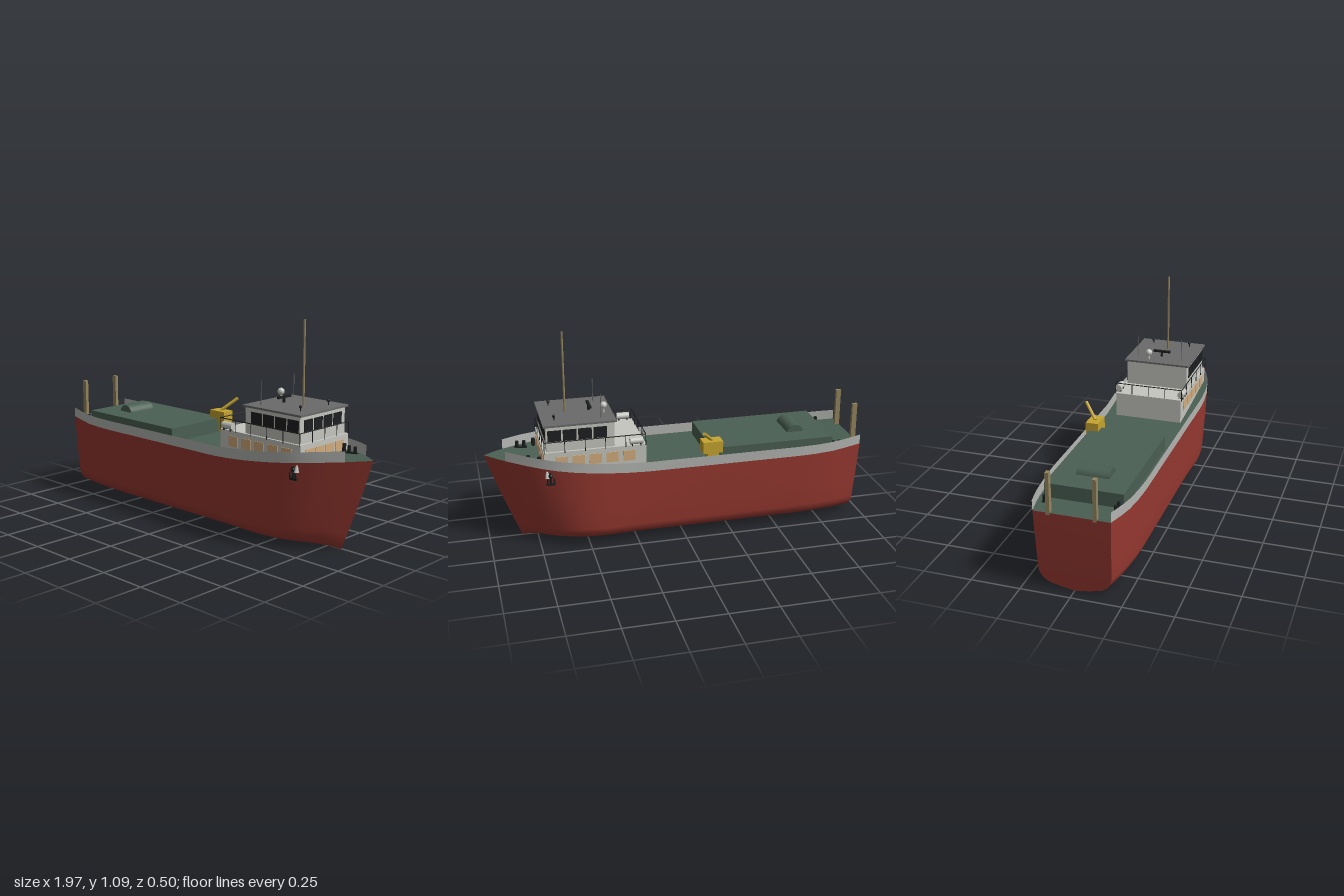
import * as THREE from 'three';

const mat = (name, color, side = THREE.FrontSide) => {
  const m = new THREE.MeshStandardMaterial({ color, side });
  m.name = name;
  return m;
};

// Stations from stern to bow: [x, half width, deck height]
const STATIONS = [
  [-0.97, 0.187, 0.41], [-0.88, 0.207, 0.403], [-0.8, 0.22, 0.397], [-0.7, 0.23, 0.395],
  [-0.6, 0.235, 0.395], [-0.2, 0.235, 0.395], [0.2, 0.235, 0.395], [0.3, 0.239, 0.401],
  [0.42, 0.244, 0.412], [0.5, 0.242, 0.421], [0.58, 0.234, 0.43], [0.65, 0.217, 0.437],
  [0.72, 0.19, 0.444], [0.8, 0.148, 0.452], [0.9, 0.082, 0.461], [0.95, 0.044, 0.466], [1, 0, 0.47],
];
// Half section from keel to deck: [fraction of half width, height, or null for the deck]
const SECTION = [[0, 0], [0.4, 0.014], [0.68, 0.027], [0.8, 0.041], [0.88, 0.057], [0.93, 0.075],
  [0.96, 0.1], [0.975, 0.2], [0.99, 0.31], [1, null]];

// How far the keel is drawn in from the deck line by the raked stem and stern
function rake(x) {
  if (x > 0.2) return 0.17 * Math.pow((x - 0.2) / 0.8, 1.3);
  if (x < -0.6) return -0.03 * (-0.6 - x) / 0.37;
  return 0;
}

function hullPoint([x, w, top], [f, h], side) {
  const y = h === null ? top : h;
  return [x - rake(x) * Math.pow(1 - y / top, 1.12), y, side * w * f];
}

// Smooth surface through rows of points
function loft(rows, flip = false) {
  const n = rows[0].length, index = [];
  for (let i = 0; i < rows.length - 1; i++) {
    for (let j = 0; j < n - 1; j++) {
      const a = i * n + j, b = a + n;
      if (flip) index.push(a, a + 1, b, b, a + 1, b + 1);
      else index.push(a, b, a + 1, b, b + 1, a + 1);
    }
  }
  const g = new THREE.BufferGeometry();
  g.setAttribute('position', new THREE.Float32BufferAttribute(rows.flat(2), 3));
  g.setIndex(index);
  g.computeVertexNormals();
  return g;
}

export function createModel() {
  const red = mat('hull red', 0x963830, THREE.DoubleSide);
  const green = mat('deck green', 0x4a5f53, THREE.DoubleSide);
  const grey = mat('bulwark grey', 0xb4b6b2, THREE.DoubleSide);
  const white = mat('cabin off-white', 0xc6c6c0);
  const roofGrey = mat('roof grey', 0x6a6a6a);
  const black = mat('fitting black', 0x1e1f20);
  const peach = mat('lit window peach', 0xd2ac7c);
  const yellow = mat('crane yellow', 0xc6a530);
  const tan = mat('spar tan', 0x94855f);

  const model = new THREE.Group();
  const ship = new THREE.Group();
  ship.name = 'ship';
  ship.position.z = 0.005;
  model.add(ship);

  const add = (name, geo, m, x = 0, y = 0, z = 0, parent = ship) => {
    const mesh = new THREE.Mesh(geo, m);
    mesh.name = name;
    mesh.position.set(x, y, z);
    parent.add(mesh);
    return mesh;
  };
  // Box given by its bounds
  const box = (name, m, x0, x1, y0, y1, z0, z1) => add(name,
    new THREE.BoxGeometry(x1 - x0, y1 - y0, z1 - z0), m, (x0 + x1) / 2, (y0 + y1) / 2, (z0 + z1) / 2);
  // Round bar between two points
  const rod = (name, m, a, b, r, sides = 8) => {
    const p = new THREE.Vector3(...a), q = new THREE.Vector3(...b), d = q.clone().sub(p);
    const mesh = add(name, new THREE.CylinderGeometry(r, r, d.length(), sides), m);
    mesh.position.copy(p).add(q).multiplyScalar(0.5);
    mesh.quaternion.setFromUnitVectors(new THREE.Vector3(0, 1, 0), d.normalize());
    return mesh;
  };

  // Hull sides and bulwarks
  for (const s of [1, -1]) {
    add('hullSide', loft(STATIONS.map(st => SECTION.map(p => hullPoint(st, p, s))), s < 0), red);
    add('bulwark', loft(STATIONS.filter(st => st[0] <= 0.9)
      .map(([x, w, y]) => [[x, y, s * w], [x, y + 0.052, s * (w + 0.001)]]), s < 0), grey);
  }
  // Transom and deck
  add('transom', loft(SECTION.map(p => [hullPoint(STATIONS[0], p, -1), hullPoint(STATIONS[0], p, 1)]), true), red);
  add('deck', loft(STATIONS.map(([x, w, y]) => [[x, y, -w], [x, y, w]]), true), green);

  // Cargo hatch with rounded hump
  box('cargoHatch', green, -0.81, -0.145, 0.38, 0.47, -0.195, 0.195);
  const hump = add('hatchHump', new THREE.CylinderGeometry(0.047, 0.047, 0.166, 24), green, -0.64, 0.46, 0);
  hump.rotation.x = Math.PI / 2;

  // Deck crane
  box('cranePost', yellow, -0.18, -0.12, 0.385, 0.46, -0.208, -0.155);
  box('craneHead', yellow, -0.2, -0.095, 0.45, 0.512, -0.214, -0.147);
  rod('craneArm', yellow, [-0.15, 0.51, -0.178], [-0.087, 0.578, -0.25], 0.009);

  // Deckhouse with lit windows
  box('deckhouse', white, 0.197, 0.717, 0.38, 0.525, -0.182, 0.182);
  for (const s of [1, -1]) {
    for (let i = 0; i < 5; i++) {
      const x = 0.255 + i * 0.086;
      box('deckhouseSideWindow', peach, x, x + 0.062, 0.445, 0.499, s * 0.183 - 0.002, s * 0.183 + 0.002);
    }
  }
  for (let i = 0; i < 4; i++) {
    const z = -0.1125 + i * 0.075;
    box('deckhouseFrontWindow', peach, 0.716, 0.72, 0.445, 0.499, z - 0.032, z + 0.032);
  }

  // Wheelhouse with dark windows and flat roof
  box('wheelhouse', white, 0.357, 0.702, 0.52, 0.66, -0.17, 0.17);
  for (let i = 0; i < 4; i++) {
    const x = 0.395 + i * 0.077, z = -0.111 + i * 0.074;
    for (const s of [1, -1]) {
      box('wheelhouseSideWindow', black, x, x + 0.068, 0.58, 0.638, s * 0.171 - 0.002, s * 0.171 + 0.002);
    }
    box('wheelhouseFrontWindow', black, 0.701, 0.705, 0.578, 0.638, z - 0.0315, z + 0.0315);
  }
  box('roof', roofGrey, 0.345, 0.715, 0.658, 0.668, -0.181, 0.181);

  // Guard rail around the deckhouse top
  const X0 = 0.2, X1 = 0.715, Z = 0.186, RY = 0.582;
  for (const s of [1, -1]) {
    rod('sideRail', black, [X0, RY, s * Z], [X1, RY, s * Z], 0.0025, 6);
    for (let i = 0; i <= 5; i++) {
      const x = X0 + (X1 - X0) * i / 5;
      rod('railPost', black, [x, 0.52, s * Z], [x, RY, s * Z], 0.002, 6);
    }
  }
  for (const x of [X0, X1]) {
    rod('endRail', black, [x, RY, -Z], [x, RY, Z], 0.0025, 6);
    for (const z of [-0.093, 0, 0.093]) rod('railPost', black, [x, 0.52, z], [x, RY, z], 0.002, 6);
  }

  // Mast and aerials
  rod('mast', tan, [0.58, 0.66, 0], [0.58, 1.09, 0], 0.0055, 8);
  for (const s of [1, -1]) {
    rod('aerial', roofGrey, [0.415, 0.66, s * 0.123], [0.415, 0.79, s * 0.123], 0.002, 6);
    // Searchlights
    rod('searchlightPost', black, [0.65, 0.66, s * 0.106], [0.65, 0.69, s * 0.106], 0.003, 6);
    add('searchlight', new THREE.SphereGeometry(0.008, 12, 8), black, 0.65, 0.69, s * 0.106);
  }
  // Radome and radar scanner
  rod('radomePost', white, [0.39, 0.66, -0.055], [0.39, 0.7, -0.055], 0.006);
  add('radome', new THREE.SphereGeometry(0.018, 20, 14), white, 0.39, 0.707, -0.055);
  rod('radarPost', black, [0.457, 0.66, 0], [0.457, 0.695, 0], 0.007);
  box('radarScanner', black, 0.45, 0.464, 0.691, 0.702, -0.047, 0.047);

  for (const s of [1, -1]) {
    // Life raft canisters
    const raft = add('lifeRaft', new THREE.CylinderGeometry(0.018, 0.018, 0.066, 10), white, 0.247, 0.547, s * 0.176);
    raft.rotation.z = Math.PI / 2;
    for (const dx of [-0.022, 0.022]) {
      box('raftCradle', black, 0.245 + dx, 0.249 + dx, 0.522, 0.535, s * 0.176 - 0.014, s * 0.176 + 0.014);
    }

    // Stern posts
    box('sternPost', tan, -0.973, -0.947, 0.4, 0.612, s * 0.112 - 0.009, s * 0.112 + 0.009);

    // Mooring bitts fore and aft
    for (const [x, y, z] of [[-0.84, 0.398, 0.174], [0.805, 0.45, 0.1]]) {
      box('bittBase', black, x - 0.032, x + 0.032, y, y + 0.008, s * z - 0.009, s * z + 0.009);
      for (const dx of [-0.018, 0.018]) {
        rod('bitt', black, [x + dx, y, s * z], [x + dx, y + 0.038, s * z], 0.009, 10);
      }
    }
    rod('capstan', black, [0.736, 0.44, s * 0.128], [0.736, 0.485, s * 0.128], 0.01, 10);

    // Anchor hanging from its hawse pipe
    const hawse = add('hawsePipe', new THREE.CylinderGeometry(0.004, 0.013, 0.045, 10), white, 0.705, 0.418, s * 0.192);
    hawse.rotation.x = -s * 0.2;
    rod('anchorShank', black, [0.69, 0.365, s * 0.2], [0.692, 0.425, s * 0.206], 0.006);
    box('anchorCrown', black, 0.668, 0.712, 0.358, 0.37, s * 0.2 - 0.006, s * 0.2 + 0.006);
    for (const dx of [-0.018, 0.018]) {
      rod('anchorFluke', black, [0.69 + dx, 0.362, s * 0.2], [0.69 + dx * 0.9, 0.395, s * 0.208], 0.004, 6);
    }
    add('anchorHead', new THREE.SphereGeometry(0.012, 10, 8), black, 0.69, 0.41, s * 0.203);
  }
  return model;
}
